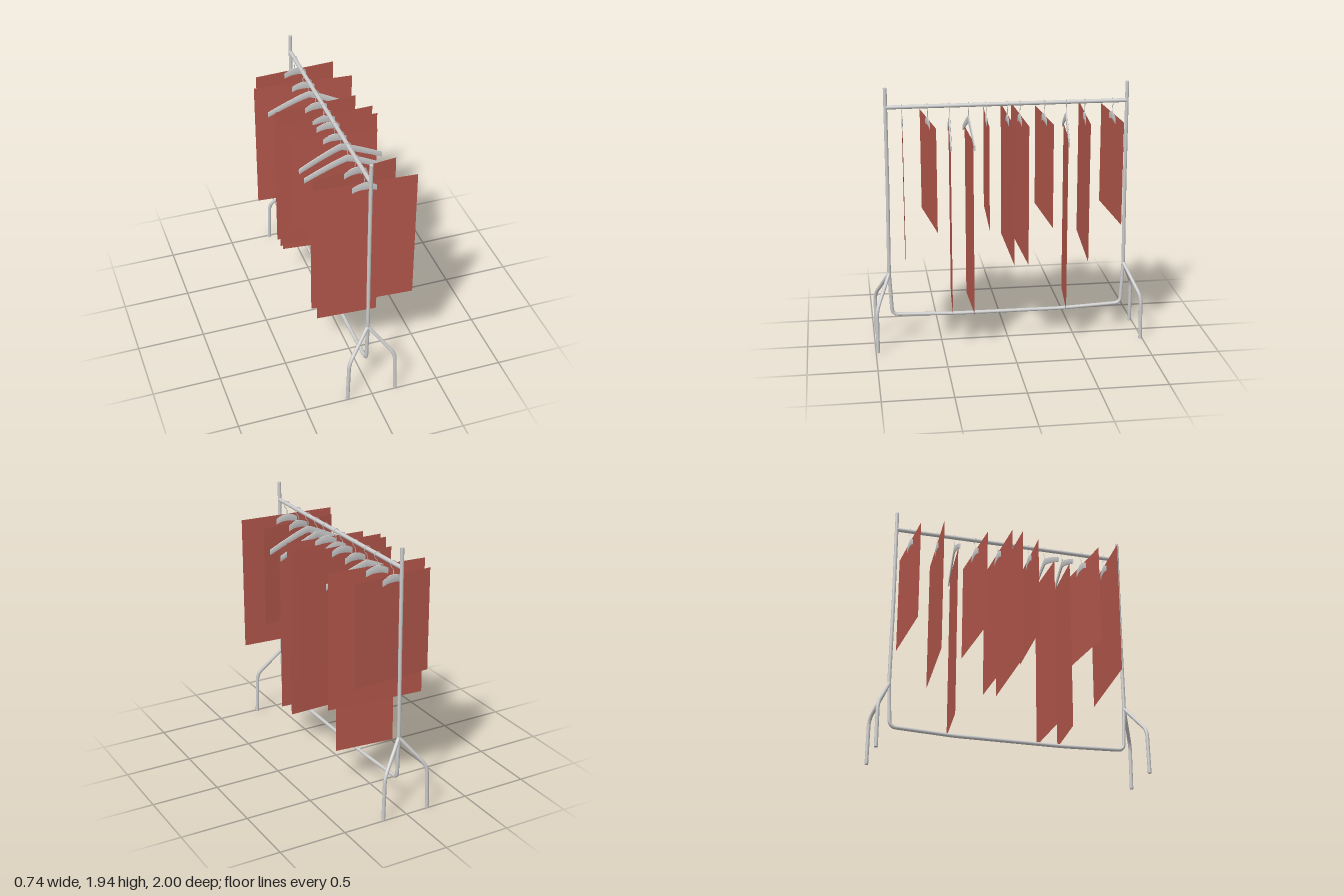
import * as THREE from 'three';

const V = (x, y, z) => new THREE.Vector3(x, y, z);
const metal = new THREE.MeshStandardMaterial({ color: 0xcccccc });
const cloth = new THREE.MeshStandardMaterial({ color: 0xb5584c, side: THREE.DoubleSide });

function mesh(name, geometry, material = metal) {
  const m = new THREE.Mesh(geometry, material);
  m.name = name;
  return m;
}

// Path of straight runs joined by rounded bends of size r
function bentPath(points, r) {
  const path = new THREE.CurvePath();
  let last = points[0];
  for (let i = 1; i < points.length - 1; i++) {
    const p = points[i];
    const a = p.clone().add(points[i - 1].clone().sub(p).setLength(r));
    const b = p.clone().add(points[i + 1].clone().sub(p).setLength(r));
    path.add(new THREE.LineCurve3(last, a));
    path.add(new THREE.QuadraticBezierCurve3(a, p, b));
    last = b;
  }
  path.add(new THREE.LineCurve3(last, points[points.length - 1]));
  return path;
}

// Round pipe with closed ends
function pipe(name, path, radius, segments) {
  const g = new THREE.Group();
  g.name = name;
  g.add(mesh(name + 'Tube', new THREE.TubeGeometry(path, segments, radius, 12)));
  for (const t of [0, 1]) {
    const cap = mesh(name + 'Cap', new THREE.CircleGeometry(radius, 12));
    cap.position.copy(path.getPointAt(t));
    const dir = path.getTangentAt(t).multiplyScalar(t ? 1 : -1);
    cap.quaternion.setFromUnitVectors(V(0, 0, 1), dir);
    g.add(cap);
  }
  return g;
}

// Arched hanger body: a box bent downward and thinned toward its tips
function hangerBody({ half, top, drop, height, thick, power, tip }) {
  const geo = new THREE.BoxGeometry(2, 1, 1, 24, 4, 2);
  const p = geo.attributes.position;
  for (let i = 0; i < p.count; i++) {
    const u = p.getX(i), v = p.getY(i), w = p.getZ(i);
    const a = Math.abs(u);
    const y = top - drop * Math.pow(a, power) + (v - 0.5) * height * (1 - 0.2 * a);
    const z = w * thick * (1 - (1 - tip) * a * a) * (1 - 1.6 * v * v);
    p.setXYZ(i, u * half, y, z);
  }
  geo.computeVertexNormals();
  return mesh('hangerBody', geo);
}

// Wire hook looping over the rail
function hook() {
  const pts = [V(0, 1.7, 0), V(0, 1.755, 0), V(0.015, 1.775, 0)];
  for (let i = 0; i <= 6; i++) {
    const a = -0.5 + (i / 6) * (Math.PI + 0.7);
    pts.push(V(0.022 * Math.cos(a), 1.797 + 0.022 * Math.sin(a), 0));
  }
  return mesh('hook', new THREE.TubeGeometry(new THREE.CatmullRomCurve3(pts), 32, 0.0025, 6));
}

const small = { half: 0.085, top: 1.72, drop: 0.03, height: 0.055, thick: 0.014, power: 1.8, tip: 0.2 };
const large = { half: 0.306, top: 1.72, drop: 0.14, height: 0.05, thick: 0.014, power: 1.15, tip: 0.8 };

// Garment kinds: left edge, right edge, bottom, top, hanger
const kinds = {
  wide: [-0.37, 0.37, 0.7, 1.72, small],
  short: [-0.308, 0.308, 0.95, 1.71, small],
  long: [-0.222, 0.234, 0.285, 1.59, large],
};

// Kind, place along the rail, and z shift per unit of x
const garments = [
  ['wide', 0.757, 0.06], ['short', 0.575, -0.113], ['long', 0.42, 0.06], ['long', 0.281, -0.028],
  ['short', 0.154, 0.05], ['wide', 0, 0], ['wide', -0.09, -0.03], ['short', -0.268, -0.057],
  ['long', -0.428, 0.1], ['wide', -0.563, 0.074], ['short', -0.768, -0.057],
];

export function createModel() {
  const model = new THREE.Group();
  model.name = 'clothesRack';

  // Uprights and sagging lower bar, bent from one pipe
  const frame = bentPath([
    V(0, 1.94, 0.873), V(0, 1.2, 0.874), V(0, 0.55, 0.881), V(0, 0.225, 0.865), V(0, 0.208, 0.4),
    V(0, 0.205, -0.4), V(0, 0.225, -0.865), V(0, 0.55, -0.881), V(0, 1.2, -0.874), V(0, 1.94, -0.873),
  ], 0.045);
  model.add(pipe('frame', frame, 0.0135, 220));

  // Top rail
  model.add(pipe('topRail', new THREE.LineCurve3(V(0, 1.8, -0.873), V(0, 1.8, 0.873)), 0.015, 2));

  // Two splayed legs at each end
  for (const sz of [-1, 1]) {
    for (const sx of [-1, 1]) {
      const leg = bentPath([
        V(0, 0.55, 0.88 * sz), V(0.172 * sx, 0.33, 0.983 * sz), V(0.182 * sx, 0, 0.985 * sz),
      ], 0.05);
      model.add(pipe('leg', leg, 0.0135, 40));
    }
  }

  // Hangers with flat garments
  for (const [kind, z, slope] of garments) {
    const [x0, x1, y0, y1, shape] = kinds[kind];
    const g = new THREE.Group();
    g.name = kind + 'Garment';
    const panel = mesh('fabric', new THREE.PlaneGeometry(x1 - x0, y1 - y0), cloth);
    panel.position.set((x0 + x1) / 2, (y0 + y1) / 2, 0);
    g.add(panel, hangerBody(shape), hook());
    g.position.z = z;
    g.rotation.y = -Math.atan(slope);
    model.add(g);
  }
  return model;
}
